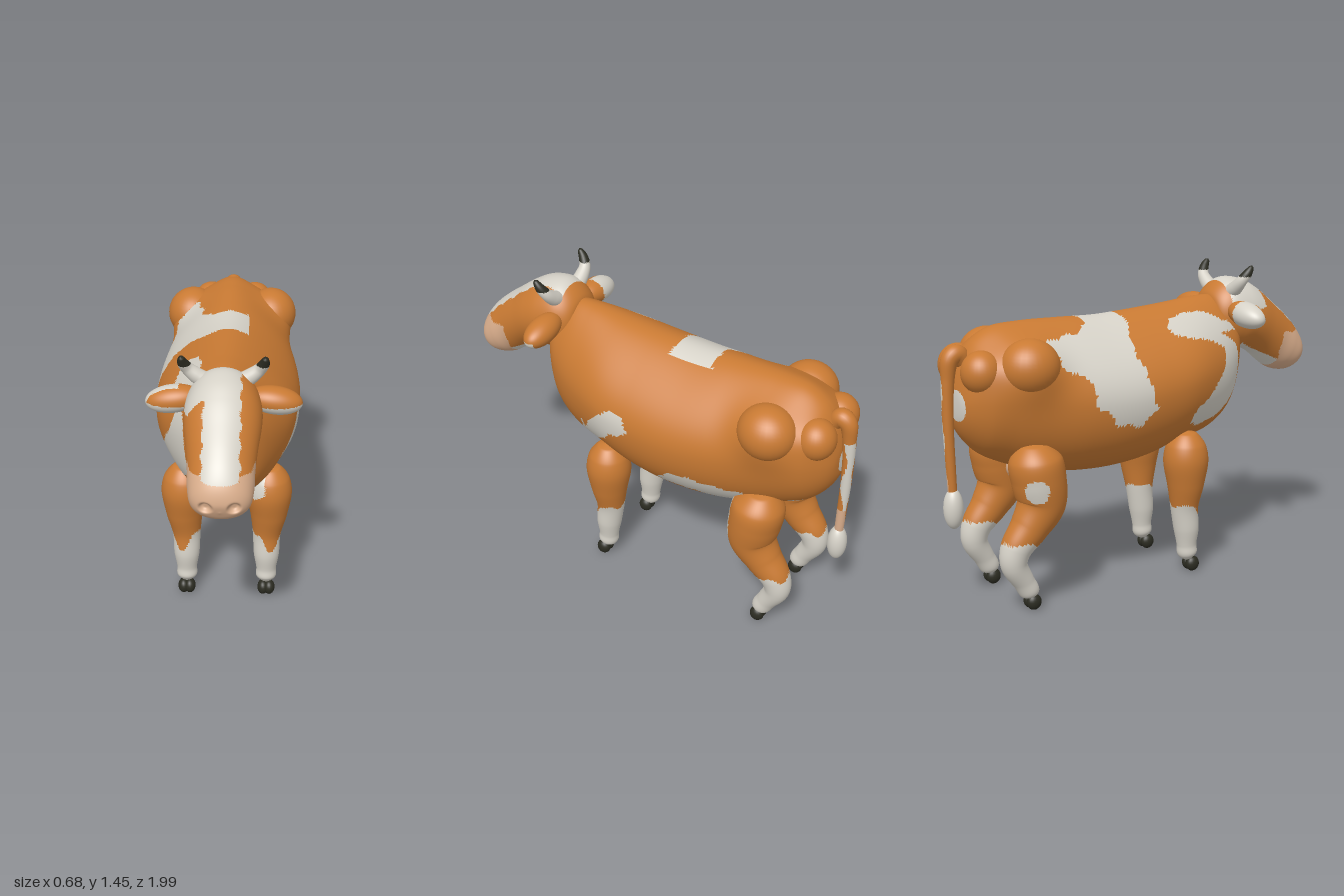
import * as THREE from 'three';

const mat = (name, color) => new THREE.MeshStandardMaterial({ name, color });
const V = (x, y, z) => new THREE.Vector3(x, y, z);

// Skin a list of rings { c, side, up } into a closed smooth surface; k narrows the upper half.
function loft(rings, m, k = 0) {
  const pos = [], idx = [];
  for (const { c, side, up } of rings) {
    for (let j = 0; j < m; j++) {
      const a = (j / m) * Math.PI * 2, s = Math.sin(a);
      const w = Math.cos(a) * (1 - k * Math.max(s, 0) ** 2);
      const p = c.clone().addScaledVector(side, w).addScaledVector(up, s);
      pos.push(p.x, p.y, p.z);
    }
  }
  for (let i = 0; i < rings.length - 1; i++) {
    for (let j = 0; j < m; j++) {
      const a = i * m + j, b = i * m + ((j + 1) % m);
      idx.push(a, b, a + m, b, b + m, a + m);
    }
  }
  const g = new THREE.BufferGeometry();
  g.setAttribute('position', new THREE.Float32BufferAttribute(pos, 3));
  g.setIndex(idx);
  g.computeVertexNormals();
  return g;
}

// Side-profile loft; rows are [topZ, topY, bottomZ, bottomY, halfWidth].
function profile(rows, n, m, k) {
  const top = new THREE.CatmullRomCurve3(rows.map(r => V(r[4], r[1], r[0])));
  const bot = new THREE.CatmullRomCurve3(rows.map(r => V(0, r[3], r[2])));
  const rings = [];
  for (let i = 0; i <= n; i++) {
    const t = top.getPoint(i / n), b = bot.getPoint(i / n), w = Math.max(t.x, 0);
    t.x = 0;
    b.x = 0;
    rings.push({ c: t.clone().add(b).multiplyScalar(0.5), side: V(w, 0, 0), up: t.clone().sub(b).multiplyScalar(0.5) });
  }
  return loft(rings, m, k);
}

// Tapering tube; rows are [x, y, z, radius].
function limb(rows, ref, n, m) {
  const path = new THREE.CatmullRomCurve3(rows.map(r => V(r[0], r[1], r[2])));
  const rad = new THREE.CatmullRomCurve3(rows.map((r, i) => V(r[3], i * 0.1, 0)));
  const rings = [];
  for (let i = 0; i <= n; i++) {
    const T = path.getTangent(i / n), r = Math.max(rad.getPoint(i / n).x, 0);
    const side = T.clone().cross(ref).normalize(), up = T.clone().cross(side);
    rings.push({ c: path.getPoint(i / n), side: side.multiplyScalar(r), up: up.multiplyScalar(r) });
  }
  return loft(rings, m);
}

function ball(c, r, rotZ = 0, seg = 32) {
  return new THREE.SphereGeometry(1, seg, seg * 0.75).scale(...r).rotateZ(rotZ).translate(...c);
}

// Point in polygon, flat list of u, v.
function inside(poly, u, v) {
  let hit = false;
  const n = poly.length;
  for (let i = 0, j = n - 2; i < n; j = i, i += 2) {
    const [a, b, c, d] = [poly[i], poly[i + 1], poly[j], poly[j + 1]];
    if ((b > v) !== (d > v) && u < ((c - a) * (v - b)) / (d - b) + a) hit = !hit;
  }
  return hit;
}

// Sort triangles into material groups by a rule on their centre.
function painted(name, geo, mats, rule) {
  const p = geo.attributes.position, ix = geo.index.array, bins = mats.map(() => []);
  for (let i = 0; i < ix.length; i += 3) {
    const [a, b, c] = [ix[i], ix[i + 1], ix[i + 2]];
    const mid = f => (p[f](a) + p[f](b) + p[f](c)) / 3;
    bins[rule(mid('getX'), mid('getY'), mid('getZ'))].push(a, b, c);
  }
  geo.setIndex(bins.flat());
  let start = 0;
  bins.forEach((b, i) => { if (b.length) geo.addGroup(start, b.length, i); start += b.length; });
  const mesh = new THREE.Mesh(geo, mats);
  mesh.name = name;
  return mesh;
}

// Coat patches: side patches use (z, y), front patches (x, y), the neck patch (x, z).
const SHOULDER = [0.3, 0.62, 0.29, 0.72, 0.25, 0.83, 0.17, 0.93, 0.12, 0.97, 0.08, 1.0, 0.02, 1.005, -0.01, 0.98,
  -0.02, 0.92, 0.03, 0.885, 0.08, 0.86, 0.14, 0.81, 0.17, 0.77, 0.24, 0.72, 0.26, 0.66];
const FLANK = [-0.15, 0.67, -0.17, 0.72, -0.22, 0.76, -0.31, 0.785, -0.48, 0.76, -0.57, 0.75, -0.57, 0.66, -0.45, 0.63, -0.31, 0.67];
const SADDLE = [-0.1, 1.4, -0.1, 1.25, -0.15, 1.13, -0.12, 1.0, -0.09, 0.88, -0.16, 0.8, -0.28, 0.82, -0.4, 0.93,
  -0.4, 1.02, -0.53, 1.1, -0.56, 1.2, -0.36, 1.225, -0.31, 1.25, -0.31, 1.4];
const CHEST = [-0.02, 0.8, 0, 0.84, 0.04, 0.855, 0.08, 0.83, 0.1, 0.77, 0.14, 0.74, 0.2, 0.75, 0.24, 0.79, 0.27, 0.86,
  0.3, 0.98, 0.35, 0.97, 0.31, 0.8, 0.25, 0.69, 0.18, 0.6, 0.1, 0.58, 0.05, 0.66, 0.06, 0.71, 0, 0.75];
const BREAST = [-0.2, 1.2, -0.18, 1.1, -0.17, 0.93, -0.16, 0.85, -0.18, 0.76, -0.22, 0.73, -0.27, 0.76, -0.29, 0.83,
  -0.265, 0.95, -0.22, 1.08, -0.23, 1.2];
const NECK = [-0.21, 0.11, -0.17, 0.08, -0.13, 0.11, -0.11, 0.2, -0.11, 0.3, -0.14, 0.42, -0.13, 0.5, -0.25, 0.5, -0.24, 0.3];

function coat(x, y, z) {
  const u = z + 0.006 * Math.sin(70 * y), v = y + 0.006 * Math.sin(60 * z);
  if (x > 0.05 && inside(SHOULDER, u, v)) return 1;
  if (z > 0.27 && inside(CHEST, x, v)) return 1;
  if (x > 0 && (inside(FLANK, u, v) || (y < 0.597 && Math.abs(z + 0.105) < 0.065 && x > 0.05))) return 1;
  if (x < 0.09 && y > 0.7 && (x < 0 || y > 1.15) && inside(SADDLE, u, v)) return 1;
  if (z > 0.15 && inside(BREAST, x, v)) return 1;
  if (y > 1.15 && inside(NECK, x, u)) return 1;
  if (z > 0.51 && y > 0.93 && y < 1.06 && Math.abs(x) < 0.13) return 1;
  if (y < 0.76 && Math.hypot(x - 0.06, z + 0.76) < 0.07) return 1;
  return Math.hypot(x + 0.03, y - 0.94, z + 0.93) < 0.07 ? 1 : 0;
}

export function createModel() {
  const brown = mat('brown coat', 0xc97a33), white = mat('white coat', 0xd6d2c8);
  const skin = mat('pink skin', 0xdaae8c), dark = mat('dark horn', 0x2c2c22);
  const pelt = [brown, white, skin];
  const cow = new THREE.Group();
  cow.name = 'cow';
  const add = (name, geo, material, parent = cow) => {
    const mesh = new THREE.Mesh(geo, material);
    mesh.name = name;
    parent.add(mesh);
  };

  // Trunk and neck, swelling towards the hip and rump bones
  const body = profile([
    [-0.938, 0.95, -0.938, 0.93, 0], [-0.93, 1.03, -0.93, 0.86, 0.08], [-0.9, 1.12, -0.9, 0.79, 0.14],
    [-0.84, 1.21, -0.83, 0.71, 0.2], [-0.75, 1.262, -0.72, 0.65, 0.235], [-0.6, 1.275, -0.58, 0.6, 0.275],
    [-0.4, 1.272, -0.4, 0.565, 0.32], [-0.2, 1.266, -0.2, 0.555, 0.34], [0, 1.275, 0, 0.575, 0.335],
    [0.2, 1.29, 0.17, 0.62, 0.31], [0.35, 1.305, 0.36, 0.65, 0.25], [0.45, 1.305, 0.48, 0.72, 0.195],
    [0.52, 1.28, 0.535, 0.84, 0.145], [0.56, 1.22, 0.565, 0.98, 0.09], [0.575, 1.1, 0.575, 1.08, 0],
  ], 180, 128, 0.33);
  const bp = body.attributes.position;
  for (let i = 0; i < bp.count; i++) {
    const x = bp.getX(i), y = bp.getY(i), z = bp.getZ(i), ax = Math.abs(x);
    const hip = Math.hypot(ax - 0.21, y - 1.1, z + 0.66) / 0.13, rump = Math.hypot(ax - 0.12, y - 1.1, z + 0.86) / 0.09;
    const push = 0.07 * Math.exp(-hip * hip) + 0.03 * Math.exp(-rump * rump);
    bp.setXYZ(i, x + Math.sign(x) * push, y + push * 0.3, z);
  }
  body.computeVertexNormals();
  cow.add(painted('body', body, pelt, coat));

  // Head, with the nostrils pressed into the muzzle
  const head = profile([
    [0.425, 1.23, 0.425, 1.21, 0], [0.44, 1.32, 0.43, 1.12, 0.1], [0.52, 1.382, 0.47, 1.05, 0.148],
    [0.62, 1.372, 0.55, 1.03, 0.165], [0.7, 1.33, 0.62, 1.03, 0.163], [0.79, 1.262, 0.7, 0.995, 0.15],
    [0.88, 1.19, 0.77, 0.94, 0.14], [0.94, 1.13, 0.83, 0.9, 0.137], [0.98, 1.07, 0.9, 0.888, 0.122],
    [0.998, 1.01, 0.96, 0.92, 0.075], [0.99, 0.966, 0.988, 0.962, 0],
  ], 130, 96, 0);
  const hp = head.attributes.position;
  for (let i = 0; i < hp.count; i++) {
    if (hp.getZ(i) < 0.9) continue;
    const d = Math.hypot(Math.abs(hp.getX(i)) - 0.058, (hp.getY(i) - 0.985) * 1.1);
    hp.setZ(i, hp.getZ(i) - 0.028 * Math.exp(-Math.pow(d / 0.024, 4)));
  }
  head.computeVertexNormals();
  cow.add(painted('head', head, pelt, (x, y, z) => {
    const mid = 1.22 - 0.47 * (z - 0.5), w = 0.005 * Math.sin(50 * (y - z));
    if (z > 0.8 + w && y < (Math.abs(x) < 0.077 ? 1.085 : 1.1) + w) return 2;
    if (z > 0.49 && y > mid + 0.03 && Math.abs(x + w) < 0.078) return 1;
    if (z > 0.49 && z < 0.69 && x < -0.07 && y > 1.24 + w) return 1;
    return z > 0.57 && y < mid - 0.115 ? 1 : 0;
  }));

  // Tail and switch
  cow.add(painted('tail', limb([
    [0, 1.1, -0.86, 0.035], [0, 1.16, -0.91, 0.042], [0, 1.14, -0.942, 0.04], [0, 1.05, -0.957, 0.03],
    [0, 0.85, -0.962, 0.025], [0, 0.65, -0.956, 0.022], [0, 0.48, -0.95, 0.02],
  ], V(1, 0, 0), 80, 24), pelt, (x, y, z) => {
    if (x < 0.006 * Math.sin(30 * y)) return 0;
    if (y < 0.67) return 2;
    return y < 1.05 && z < -0.956 + 0.012 * Math.sin(25 * y) ? 1 : 0;
  }));
  add('tailSwitch', ball([0, 0.47, -0.95], [0.047, 0.093, 0.045]), white);

  // Udder
  add('udder', ball([0, 0.6, -0.53], [0.13, 0.09, 0.14]), skin);

  for (const s of [1, -1]) {
    const side = new THREE.Group();
    side.name = s > 0 ? 'leftParts' : 'rightParts';
    cow.add(side);

    // Hip and rump bones
    add('hip', ball([s * 0.195, 1.105, -0.66], [0.125, 0.125, 0.135]), brown, side);
    add('rump', ball([s * 0.11, 1.09, -0.85], [0.092, 0.095, 0.09]), brown, side);

    // Teats
    for (const z of [-0.49, -0.58]) add('teat', ball([s * 0.075, 0.525, z], [0.03, 0.062, 0.03], 0, 20), skin, side);

    // Front leg
    side.add(painted('frontLeg', limb([
      [s * 0.2, 0.71, 0.17, 0], [s * 0.2, 0.695, 0.17, 0.05], [s * 0.2, 0.64, 0.17, 0.093], [s * 0.2, 0.56, 0.17, 0.107],
      [s * 0.2, 0.45, 0.17, 0.089], [s * 0.192, 0.33, 0.17, 0.067], [s * 0.192, 0.22, 0.182, 0.061],
      [s * 0.192, 0.14, 0.185, 0.048], [s * 0.192, 0.09, 0.19, 0.046], [s * 0.192, 0.05, 0.2, 0],
    ], V(1, 0, 0), 90, 48), pelt, (x, y, z) => {
      const edge = 0.35 + 0.012 * Math.sin(60 * x + 40 * z);
      const tongue = z > 0.18 ? 0.26 + 2.2 * Math.max(Math.abs(Math.abs(x) - 0.212) - 0.012, 0) : 1;
      if (y < Math.min(edge, tongue)) return 1;
      return x > 0.085 && x < 0.18 && y > 0.56 + Math.abs(x - 0.12) * 0.5 && z > 0.15 ? 1 : 0;
    }));

    // Hind leg
    side.add(painted('hindLeg', limb([
      [s * 0.185, 0.77, -0.645, 0], [s * 0.185, 0.755, -0.645, 0.06], [s * 0.187, 0.69, -0.64, 0.118],
      [s * 0.19, 0.6, -0.625, 0.123], [s * 0.19, 0.49, -0.615, 0.111], [s * 0.19, 0.39, -0.675, 0.088],
      [s * 0.19, 0.3, -0.745, 0.071], [s * 0.19, 0.23, -0.758, 0.061], [s * 0.19, 0.14, -0.712, 0.049],
      [s * 0.19, 0.08, -0.68, 0.044], [s * 0.19, 0.045, -0.67, 0],
    ], V(1, 0, 0), 100, 48), pelt, (x, y, z) => {
      if (y < 0.325 + 0.012 * Math.sin(50 * x + 40 * z)) return 1;
      if (s > 0) return z > (x < 0.2 ? -0.55 : -0.528) && y > 0.45 && y < 0.72 ? 1 : 0;
      return Math.hypot(x + 0.29, y - 0.57, z + 0.69) < 0.055 ? 1 : 0;
    }));

    // Cloven hooves
    for (const [name, z] of [['frontHoof', 0.21], ['hindHoof', -0.67]]) {
      for (const o of [-0.015, 0.015]) add(name, ball([s * 0.193 + o, 0.038, z], [0.027, 0.037, 0.035], 0, 20), dark, side);
    }

    // Ear
    side.add(painted('ear', ball([s * 0.215, 1.227, 0.508], [0.12, 0.06, 0.066], -s * 0.14, 48), pelt, (x, y, z) => {
      if (y < 1.217 && z > 0.485) return 1;
      return s < 0 && x < -0.19 && z < 0.53 ? 1 : 0;
    }));

    // Horn
    side.add(painted('horn', limb([
      [s * 0.07, 1.315, 0.52, 0.038], [s * 0.115, 1.345, 0.52, 0.034], [s * 0.152, 1.38, 0.525, 0.027],
      [s * 0.17, 1.415, 0.545, 0.022], [s * 0.174, 1.445, 0.565, 0.012], [s * 0.174, 1.452, 0.57, 0],
    ], V(0, 0, 1), 40, 24), [white, dark], (x, y) => (y > 1.402 ? 1 : 0)));
  }
  return cow;
}
